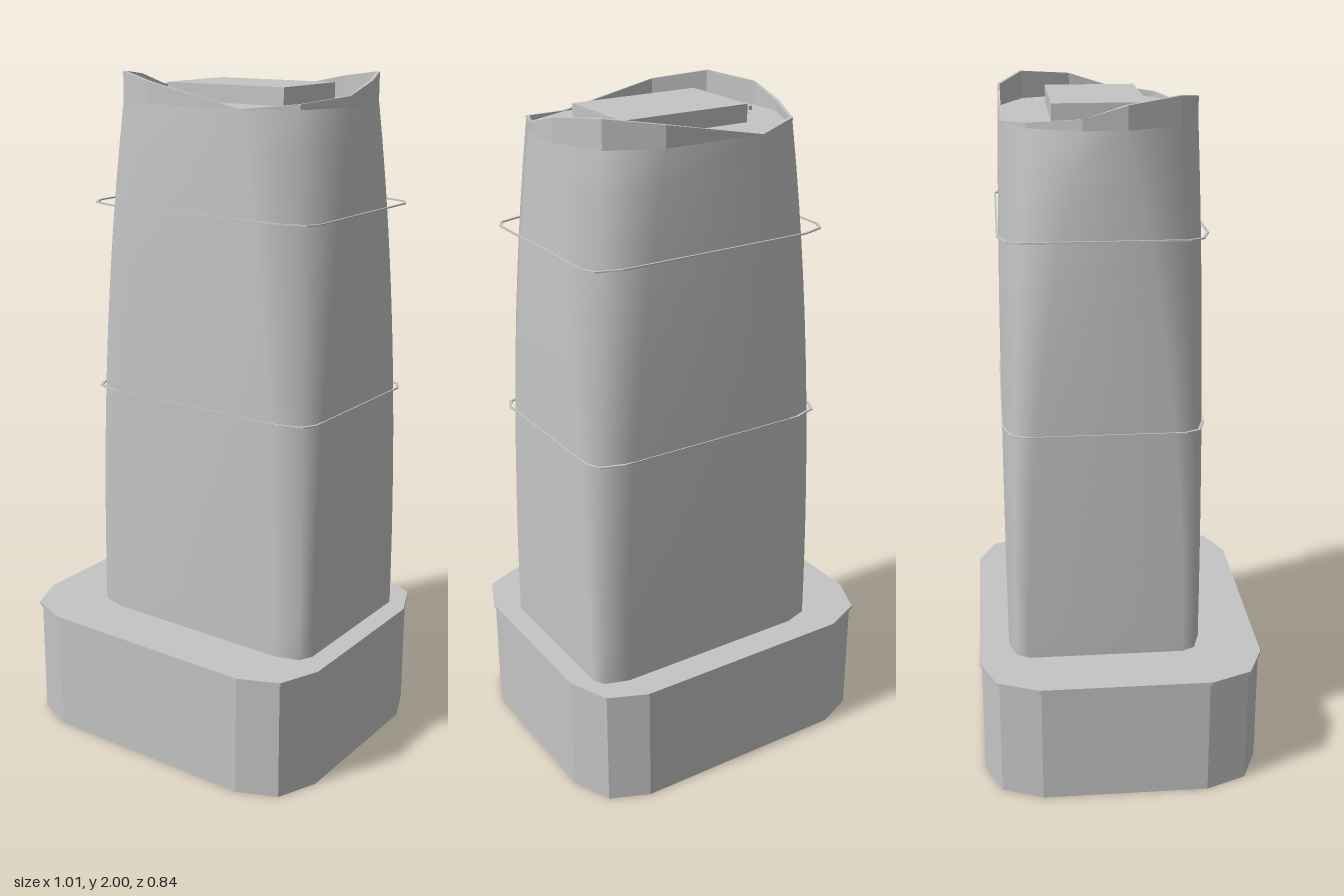
import * as THREE from 'three';

const grey = new THREE.MeshStandardMaterial({ color: 0xc4c4c4, side: THREE.DoubleSide });
grey.name = 'concreteGrey';

// Twelve-sided rectangle with two-facet corners: a = corner length, b = inset of the middle point
function outline([x0, x1, z0, z1], [ax, az, bx, bz], grow = 0) {
  x0 -= grow; x1 += grow; z0 -= grow; z1 += grow;
  return [
    [x1, z1 - az], [x1 - bx, z1 - bz], [x1 - ax, z1],
    [x0 + ax, z1], [x0 + bx, z1 - bz], [x0, z1 - az],
    [x0, z0 + az], [x0 + bx, z0 + bz], [x0 + ax, z0],
    [x1 - ax, z0], [x1 - bx, z0 + bz], [x1, z0 + az],
  ];
}

const atHeight = (points, y) => points.map(([x, z], i) => [x, Array.isArray(y) ? y[i % y.length] : y, z]);

// Skin a stack of loops from bottom to top, with an optional flat lid
function loft(loops, { smooth = false, lid = false } = {}) {
  const n = loops[0].length;
  const index = [];
  const positions = loops.flat(2);
  for (let k = 0; k < loops.length - 1; k++) {
    for (let i = 0; i < n; i++) {
      const a = k * n + i, b = k * n + (i + 1) % n;
      index.push(a, a + n, b, b, a + n, b + n);
    }
  }
  if (lid) {
    const top = (loops.length - 1) * n;
    for (let i = 1; i < n - 1; i++) index.push(top, top + i + 1, top + i);
  }
  let geometry = new THREE.BufferGeometry();
  geometry.setAttribute('position', new THREE.Float32BufferAttribute(positions, 3));
  geometry.setIndex(index);
  if (!smooth) geometry = geometry.toNonIndexed();
  geometry.computeVertexNormals();
  return geometry;
}

export function createModel() {
  const model = new THREE.Group();
  const add = (name, geometry) => {
    const mesh = new THREE.Mesh(geometry, grey);
    mesh.name = name;
    model.add(mesh);
    return mesh;
  };

  // Podium: hollow, open underneath, with a thin projecting lip
  const podiumBox = [-0.513, 0.486, -0.415, 0.415];
  const podiumCorner = [0.165, 0.17, 0.05, 0.05];
  const wall = outline(podiumBox, podiumCorner);
  const lip = outline(podiumBox, podiumCorner, 0.006);
  add('podium', loft([
    atHeight(wall, 0), atHeight(wall, 0.36), atHeight(lip, 0.36), atHeight(lip, 0.37),
  ], { lid: true }));

  // Tower: corners open out and the sides draw in towards the top
  const bottom = 0.37, roofY = 1.92;
  const baseBox = [-0.335, 0.43, -0.332, 0.247], topBox = [-0.315, 0.41, -0.316, 0.234];
  const baseCorner = [0.09, 0.06, 0.02, 0.022], topCorner = [0.21, 0.215, 0.063, 0.068];
  const mix = (p, q, t) => p.map((v, i) => THREE.MathUtils.lerp(v, q[i], t));
  const section = (t, grow = 0) => outline(mix(baseBox, topBox, t ** 3), mix(baseCorner, topCorner, t ** 2), grow);
  const loops = [];
  for (let k = 0; k <= 14; k++) {
    const t = k / 14;
    loops.push(atHeight(section(t), THREE.MathUtils.lerp(bottom, roofY, t)));
  }
  add('tower', loft(loops, { smooth: true }));

  // Roof deck
  add('roof', loft([atHeight(section(1), roofY - 0.004), atHeight(section(1, -0.002), roofY - 0.001)], { lid: true }));

  // Parapet with a wavy rim, the same on opposite sides
  const rim = [1.95, 1.935, 1.92, 1.98, 2.0, 1.985];
  const outer = section(1), inner = section(1, -0.007);
  add('parapet', loft([
    atHeight(outer, roofY - 0.002), atHeight(outer, rim), atHeight(inner, rim), atHeight(inner, roofY - 0.002),
  ]));

  // Thin bands around the tower, with tight corners
  for (const y of [1.075, 1.63]) {
    const out = outline(baseBox, baseCorner, 0.002), inn = outline(baseBox, baseCorner, -0.004);
    add('band', loft([
      atHeight(inn, y - 0.002), atHeight(out, y - 0.002), atHeight(out, y + 0.002),
      atHeight(inn, y + 0.002), atHeight(inn, y - 0.002),
    ]));
  }

  // Plant room and two small roof posts
  add('plantRoom', new THREE.BoxGeometry(0.396, 0.05, 0.264)).position.set(0.046, 1.945, -0.043);
  for (const x of [-0.255, 0.345]) {
    add('roofPost', new THREE.BoxGeometry(0.01, 0.012, 0.01)).position.set(x, 1.925, -0.043);
  }
  return model;
}
